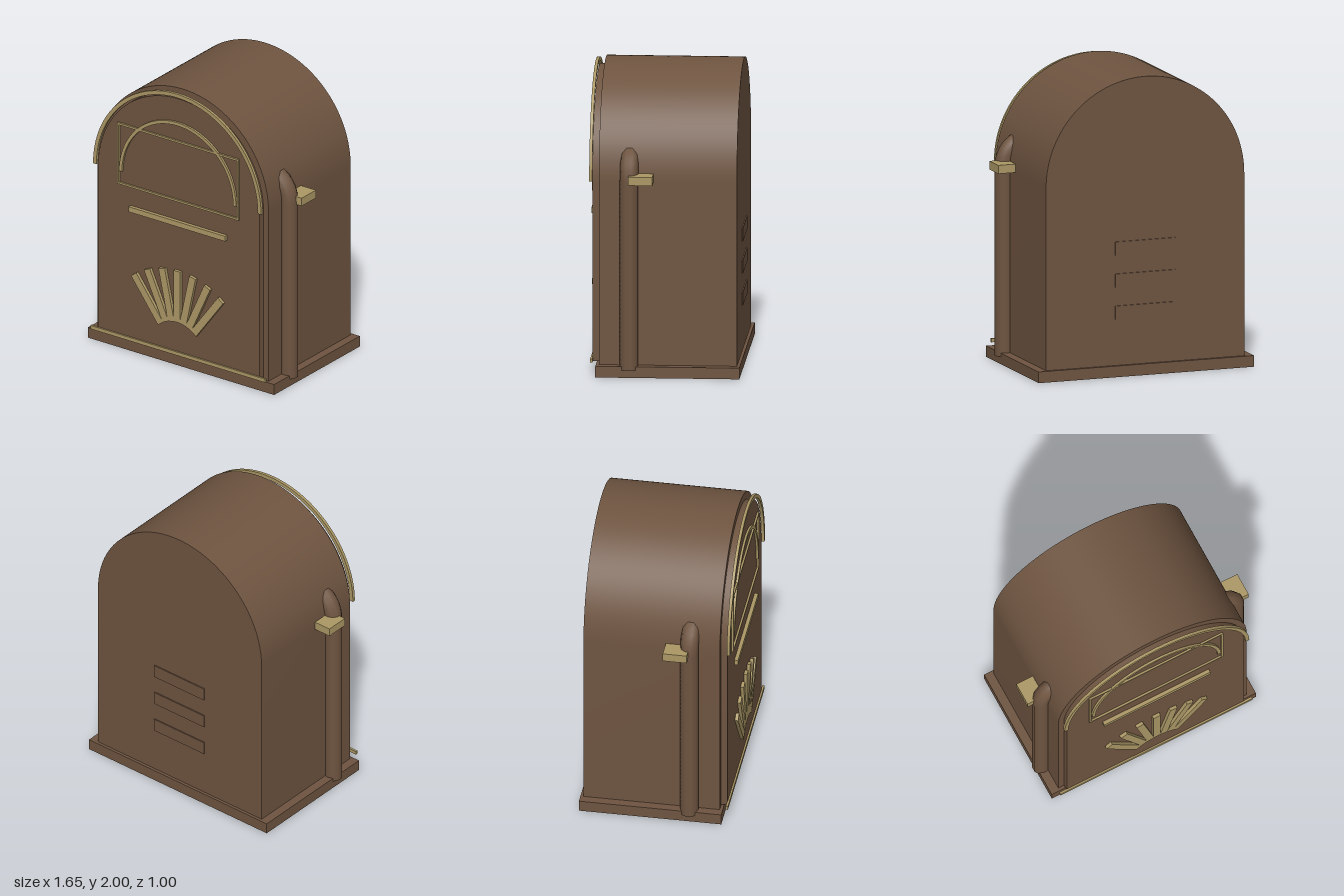
import * as THREE from 'three';
import { toCreasedNormals } from 'three/addons/utils/BufferGeometryUtils.js';

const wood = new THREE.MeshStandardMaterial({ color: 0x6e5440 });
wood.name = 'brown wood';
const brass = new THREE.MeshStandardMaterial({ color: 0xab9765 });
brass.name = 'dull brass';

const ARCH_Y = 1.3; // height where the rounded top begins

export function createModel() {
  const model = new THREE.Group();
  model.name = 'archTopRadio';

  const add = (name, geometry, material) => {
    const mesh = new THREE.Mesh(geometry, material);
    mesh.name = name;
    model.add(mesh);
    return mesh;
  };

  // Box given by its lower and upper corners
  const box = (name, material, [x0, y0, z0], [x1, y1, z1]) => {
    const mesh = add(name, new THREE.BoxGeometry(x1 - x0, y1 - y0, z1 - z0), material);
    mesh.position.set((x0 + x1) / 2, (y0 + y1) / 2, (z0 + z1) / 2);
    return mesh;
  };

  // Shape pushed forward from z0 to z1, smooth round the curve
  const extrude = (name, material, shape, z0, z1) => {
    const geometry = new THREE.ExtrudeGeometry(shape, {
      depth: z1 - z0, bevelEnabled: false, curveSegments: 40,
    });
    geometry.translate(0, 0, z0);
    return add(name, toCreasedNormals(geometry, 0.6), material);
  };

  // Upright slab with a semicircular top
  const tombstone = (r, bottom, springY) => {
    const shape = new THREE.Shape();
    shape.moveTo(-r, bottom);
    shape.lineTo(r, bottom);
    shape.lineTo(r, springY);
    shape.absarc(0, springY, r, 0, Math.PI, false);
    shape.closePath();
    return shape;
  };

  // Half ring
  const halfRing = (inner, outer) => {
    const shape = new THREE.Shape();
    shape.absarc(0, ARCH_Y, outer, 0, Math.PI, false);
    shape.absarc(0, ARCH_Y, inner, Math.PI, 0, true);
    shape.closePath();
    return shape;
  };

  // Cabinet
  box('base', wood, [-0.76, 0, -0.5], [0.76, 0.075, 0.45]);
  extrude('cabinet', wood, tombstone(0.7, 0.075, ARCH_Y), -0.48, 0.43);
  extrude('frontPanel', wood, tombstone(0.66, 0.09, 1.285), 0.43, 0.475);

  // Brass trim on the front
  extrude('archTrim', brass, halfRing(0.66, 0.687), 0.475, 0.495);
  extrude('dialArch', brass, halfRing(0.455, 0.478), 0.475, 0.49);
  box('bottomTrim', brass, [-0.715, 0.09, 0.472], [0.715, 0.115, 0.487]);
  box('middleBar', brass, [-0.395, 1.03, 0.475], [0.395, 1.067, 0.5]);

  // Dial frame
  const frame = new THREE.Shape();
  frame.moveTo(-0.497, 1.203);
  frame.lineTo(0.497, 1.203);
  frame.lineTo(0.497, 1.645);
  frame.lineTo(-0.497, 1.645);
  frame.closePath();
  const opening = new THREE.Path();
  opening.moveTo(-0.483, 1.217);
  opening.lineTo(-0.483, 1.631);
  opening.lineTo(0.483, 1.631);
  opening.lineTo(0.483, 1.217);
  opening.closePath();
  frame.holes.push(opening);
  extrude('dialFrame', brass, frame, 0.475, 0.488);

  // Fan of speaker slats
  for (let i = -3; i <= 3; i++) {
    const a = i * 0.213;
    const slat = add('speakerSlat', new THREE.BoxGeometry(0.053, 0.37, 0.022), brass);
    slat.position.set(Math.sin(a) * 0.41, 0.11 + Math.cos(a) * 0.41, 0.486);
    slat.rotation.z = -a;
  }

  // Side columns that bend into the cabinet, each with a brass knob
  const column = new THREE.CurvePath();
  const p = (x, y) => new THREE.Vector3(x, y, 0.23);
  column.add(new THREE.LineCurve3(p(0.722, 0.05), p(0.722, 1.32)));
  column.add(new THREE.QuadraticBezierCurve3(p(0.722, 1.32), p(0.715, 1.44), p(0.61, 1.485)));
  // Few rings are needed on the straight run, so rings are spaced by sections
  for (const side of [-1, 1]) {
    const geometry = new THREE.TubeGeometry(column, 48, 0.061, 10, false);
    if (side < 0) geometry.rotateY(Math.PI).translate(0, 0, 0.46);
    add('sideColumn', geometry, wood);
    const foot = add('columnFoot', new THREE.CircleGeometry(0.061, 10), wood);
    foot.rotation.x = Math.PI / 2;
    foot.position.set(side * 0.722, 0.05, 0.23);
    const knob = box('sideKnob', brass, [0.7, 1.303, 0.07], [0.823, 1.36, 0.23]);
    knob.position.x *= side;
  }

  // Raised vents on the back
  for (const y of [0.43, 0.645, 0.86]) {
    box('backVent', wood, [-0.213, y - 0.045, -0.488], [0.213, y + 0.045, -0.47]);
  }

  return model;
}
